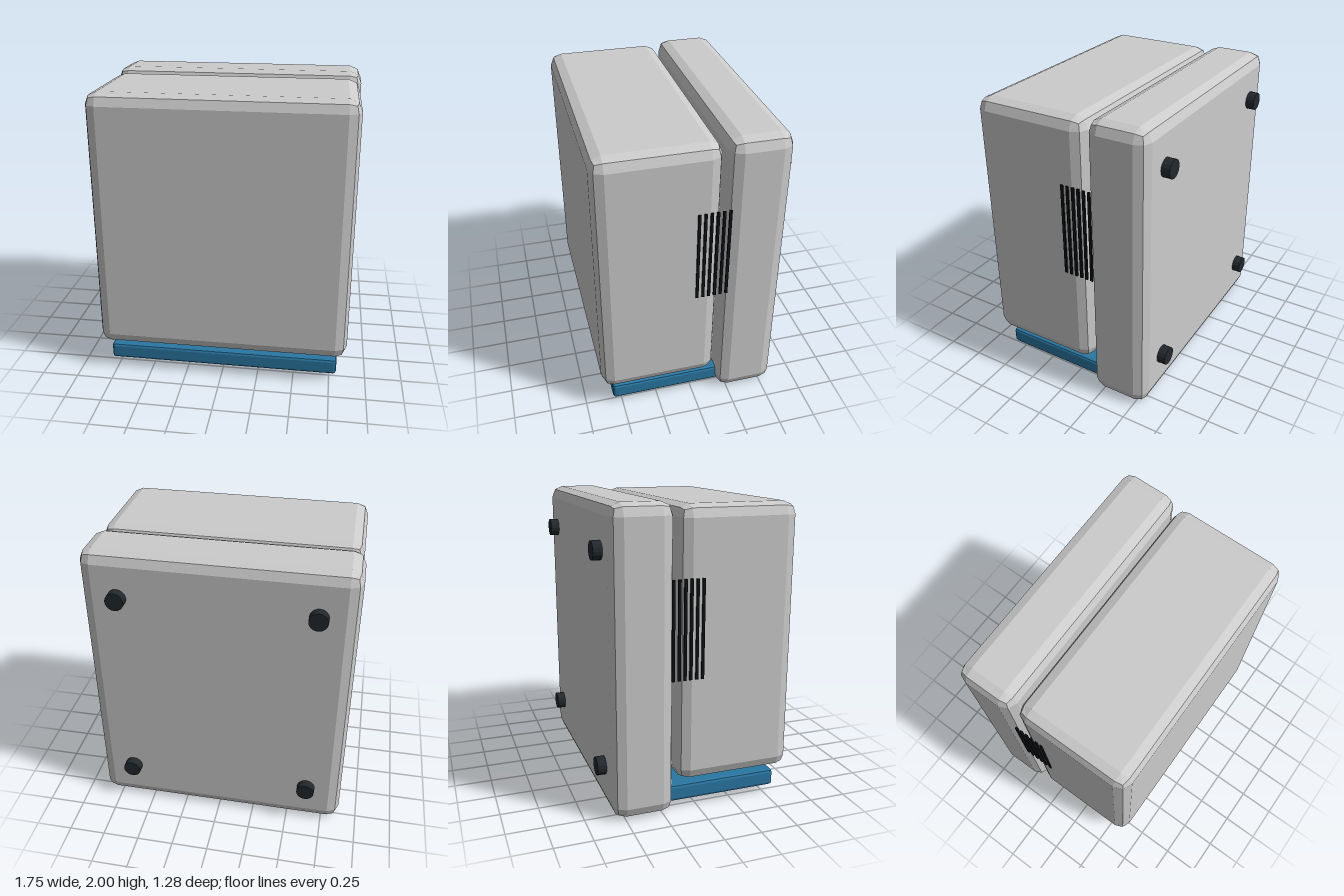
import * as THREE from 'three';
import { RoundedBoxGeometry } from 'three/addons/geometries/RoundedBoxGeometry.js';

const mat = (color) => new THREE.MeshStandardMaterial({ color, flatShading: true });

export function createModel() {
  const model = new THREE.Group();
  const grey = mat(0xcccccc);
  const blue = mat(0x2a77a3);
  const dark = mat(0x23282d);
  const black = mat(0x0e1114);
  const glass = mat(0x10242c);
  const red = mat(0xb83a34);

  const add = (name, geometry, material, x, y, z) => {
    const mesh = new THREE.Mesh(geometry, material);
    mesh.name = name;
    mesh.position.set(x, y, z);
    model.add(mesh);
    return mesh;
  };

  // Box with bevelled edges, given by its y and z extents and centred on x
  const shell = (name, width, [y0, y1], [z0, z1], radius, material) =>
    add(name, new RoundedBoxGeometry(width, y1 - y0, z1 - z0, 1, radius), material,
      0, (y0 + y1) / 2, (z0 + z1) / 2);

  // Housing: rear body, front body and the control panel below
  shell('rearBody', 1.746, [0.01, 2.0], [-0.58, -0.177], 0.08, grey);
  shell('frontBody', 1.72, [0.207, 1.98], [-0.15, 0.638], 0.08, grey);
  shell('controlPanel', 1.595, [0.05, 0.162], [-0.3, 0.563], 0.02, blue);

  // Display on the underside of the control panel
  add('displayFrame', new THREE.BoxGeometry(1.14, 0.016, 0.46), black, 0, 0.043, 0.22);
  add('displayScreen', new THREE.BoxGeometry(0.98, 0.006, 0.34), glass, 0, 0.034, 0.22);

  // Two push buttons behind the display
  const buttonGeometry = new THREE.CylinderGeometry(0.048, 0.038, 0.06, 20);
  add('redButton', buttonGeometry, red, -0.23, 0.03, -0.22);
  add('darkButton', buttonGeometry, dark, 0.228, 0.03, -0.22);

  // Feet on the back and vent slats on both sides
  const footGeometry = new THREE.CylinderGeometry(0.061, 0.061, 0.07, 16).rotateX(Math.PI / 2);
  const slatGeometry = new THREE.BoxGeometry(0.012, 0.636, 0.018);
  for (const side of [-1, 1]) {
    for (const y of [0.305, 1.705]) add('foot', footGeometry, dark, side * 0.63, y, -0.603);
    for (let i = 0; i < 6; i++) add('ventSlat', slatGeometry, black, side * 0.863, 1.223, -0.039 * i);
  }

  return model;
}
